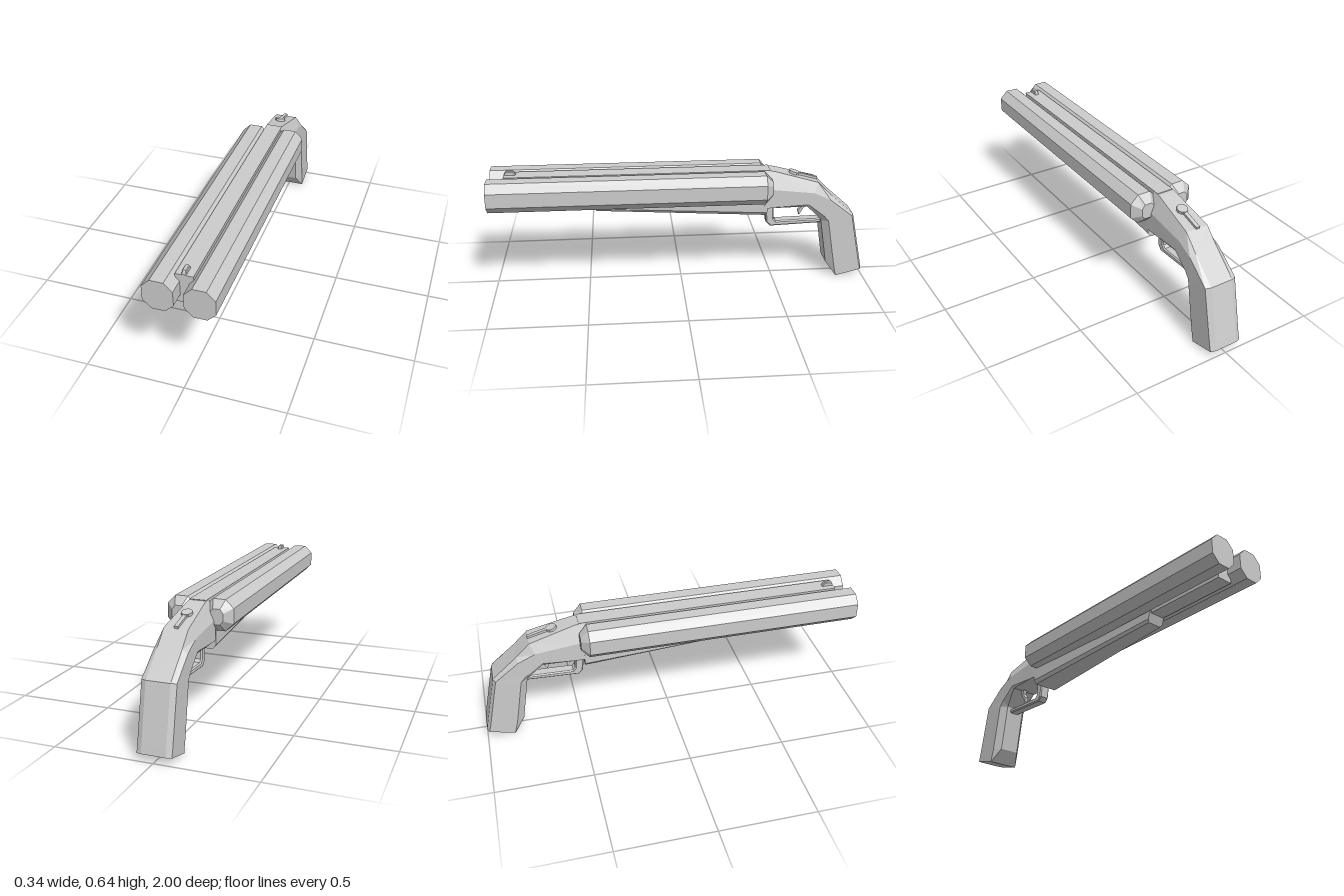
import * as THREE from 'three';

const material = new THREE.MeshStandardMaterial({ color: 0xcccccc, flatShading: true });

function add(parent, name, geometry, x = 0, y = 0, z = 0) {
  const mesh = new THREE.Mesh(geometry, material);
  mesh.name = name;
  mesh.position.set(x, y, z);
  parent.add(mesh);
  return mesh;
}

// Eight-cornered cross-section between a top and a bottom point, both [z, y].
// topCut and bottomCut are the bevel depths as fractions of the height.
function section(top, bottom, half, topHalf, bottomHalf, topCut, bottomCut) {
  const at = (x, t) => new THREE.Vector3(x,
    THREE.MathUtils.lerp(top[1], bottom[1], t), THREE.MathUtils.lerp(top[0], bottom[0], t));
  const right = [[bottomHalf, 1], [half, 1 - bottomCut], [half, topCut], [topHalf, 0]];
  const left = right.map(([x, t]) => [-x, t]).reverse();
  return [...right, ...left].map(([x, t]) => at(x, t));
}

// Faceted skin through the sections, closed at both ends
function loft(sections) {
  const points = [];
  const n = sections[0].length;
  for (let i = 0; i < sections.length - 1; i++) {
    const p = sections[i], q = sections[i + 1];
    for (let j = 0; j < n; j++) {
      const k = (j + 1) % n;
      points.push(p[j], q[j], p[k], p[k], q[j], q[k]);
    }
  }
  const first = sections[0], last = sections[sections.length - 1];
  for (let j = 1; j < n - 1; j++) {
    points.push(first[0], first[j], first[j + 1], last[0], last[j + 1], last[j]);
  }
  const geometry = new THREE.BufferGeometry().setFromPoints(points);
  geometry.computeVertexNormals();
  return geometry;
}

// Side profile of [z, y] points given a width along x
function profile(points, width, bevel = 0) {
  const shape = new THREE.Shape(points.map(([z, y]) => new THREE.Vector2(z, y)));
  const depth = width - 2 * bevel;
  return new THREE.ExtrudeGeometry(shape, {
    depth, bevelEnabled: bevel > 0, bevelSize: bevel, bevelThickness: bevel,
    bevelOffset: -bevel, bevelSegments: 1,
  }).rotateY(-Math.PI / 2).translate(depth / 2, 0, 0);
}

export function createModel() {
  const model = new THREE.Group();
  model.name = 'doubleBarrelGun';

  // Two octagonal barrels with tapered rear ends
  const barrel = loft([
    section([1, 0.62], [1, 0.462], 0.074, 0.033, 0.033, 0.26, 0.26),
    section([-0.435, 0.62], [-0.435, 0.462], 0.074, 0.033, 0.033, 0.26, 0.26),
    section([-0.475, 0.58], [-0.475, 0.502], 0.034, 0.018, 0.018, 0.26, 0.26),
  ]);
  for (const side of [-1, 1]) {
    add(model, side > 0 ? 'leftBarrel' : 'rightBarrel', barrel, side * 0.098);
  }

  // Rib between the barrels, with the front sight
  add(model, 'centreRib', new THREE.BoxGeometry(0.087, 0.155, 1.39), -0.001, 0.5395, 0.225);
  add(model, 'frontSight', profile(
    [[0.92, 0.61], [0.92, 0.62], [0.91, 0.638], [0.87, 0.638], [0.858, 0.62], [0.858, 0.61]],
    0.022, 0.004), -0.003);

  // Forend, widening and deepening towards the rear
  add(model, 'forend', loft([
    section([0.475, 0.475], [0.45, 0.415], 0.05, 0.05, 0.04, 0.1, 0.25),
    section([-0.455, 0.5], [-0.455, 0.372], 0.084, 0.084, 0.068, 0.1, 0.15),
  ]), -0.003);

  // Receiver running into the bent grip
  add(model, 'receiverAndGrip', loft([
    section([-0.44, 0.617], [-0.44, 0.417], 0.083, 0.043, 0.083, 0.48, 0.02),
    section([-0.49, 0.611], [-0.49, 0.417], 0.083, 0.045, 0.083, 0.47, 0.02),
    section([-0.727, 0.547], [-0.672, 0.417], 0.084, 0.06, 0.075, 0.4, 0.1),
    section([-0.8, 0.475], [-0.755, 0.33], 0.085, 0.06, 0.055, 0.14, 0.22),
    section([-0.93, 0.36], [-0.757, 0.325], 0.086, 0.06, 0.055, 0.07, 0.2),
    section([-0.991, 0.08], [-0.8, 0.073], 0.086, 0.06, 0.055, 0.07, 0.2),
    section([-1, 0.037], [-0.855, 0], 0.086, 0.06, 0.086, 0.07, 0.02),
  ]), -0.002);

  // Trigger guard
  add(model, 'triggerGuard', profile([
    [-0.45, 0.43], [-0.463, 0.31], [-0.486, 0.287], [-0.77, 0.298], [-0.77, 0.322],
    [-0.515, 0.316], [-0.503, 0.33], [-0.497, 0.43],
  ], 0.057, 0.006), -0.004);

  // Trigger
  add(model, 'trigger', profile([
    [-0.65, 0.43], [-0.662, 0.395], [-0.638, 0.365], [-0.645, 0.34],
    [-0.662, 0.37], [-0.68, 0.4], [-0.695, 0.43],
  ], 0.022), -0.004);

  // Opening lever lying on the sloping top of the receiver
  const lever = new THREE.Group();
  lever.name = 'topLever';
  lever.position.set(-0.004, 0.584, -0.605);
  lever.rotation.x = -0.265;
  add(lever, 'leverPivot', new THREE.CylinderGeometry(0.028, 0.028, 0.02, 10));
  add(lever, 'leverArm', new THREE.BoxGeometry(0.02, 0.016, 0.13), 0, 0, -0.065);
  model.add(lever);

  return model;
}
